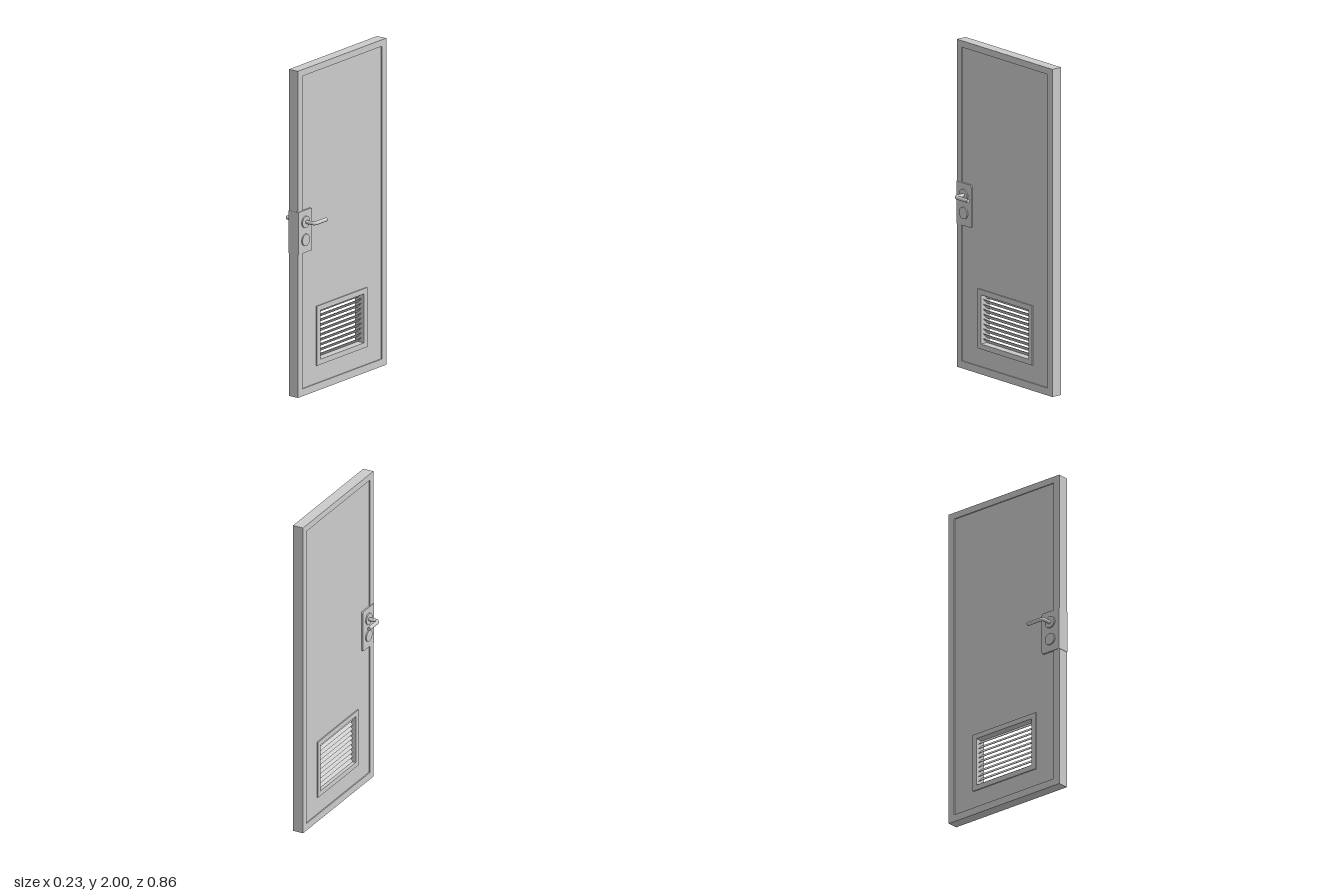
import * as THREE from 'three';

const material = new THREE.MeshStandardMaterial({ color: 0xcccccc });

// Closed rectangle path, corners rounded on the +u side when r > 0
function rect(path, u0, u1, v0, v1, r = 0) {
  path.moveTo(u0, v0);
  path.lineTo(u1 - r, v0);
  if (r) path.absarc(u1 - r, v0 + r, r, -Math.PI / 2, 0, false);
  else path.lineTo(u1, v0);
  path.lineTo(u1, v1 - r);
  if (r) path.absarc(u1 - r, v1 - r, r, 0, Math.PI / 2, false);
  else path.lineTo(u1, v1);
  path.lineTo(u0, v1);
  path.closePath();
  return path;
}

export function createModel() {
  const door = new THREE.Group();
  door.name = 'door';

  function add(name, geometry, parent = door) {
    const mesh = new THREE.Mesh(geometry, material);
    mesh.name = name;
    parent.add(mesh);
    return mesh;
  }

  // Flat part through the door's thickness (u = -z, v = y), half thickness h
  function slab(name, outer, hole, h, r = 0) {
    const shape = rect(new THREE.Shape(), ...outer, r);
    if (hole) shape.holes.push(rect(new THREE.Path(), ...hole));
    const g = new THREE.ExtrudeGeometry(shape, { depth: 2 * h, bevelEnabled: false, curveSegments: 6 });
    g.translate(0, 0, -h).rotateY(Math.PI / 2);
    return add(name, g);
  }

  const vent = [-0.213, 0.213, 0.185, 0.485];
  const panel = [-0.385, 0.385, 0.045, 1.96];

  // Leaf: outer rim, recessed panel, vent surround
  slab('doorRim', [-0.428, 0.428, 0, 2], panel, 0.034);
  slab('doorPanel', panel, vent, 0.027);
  slab('ventFrame', [-0.245, 0.245, 0.153, 0.517], vent, 0.034);

  // Slanted louvre slats, high on the +x side
  const slats = new THREE.Group();
  slats.name = 'ventSlats';
  door.add(slats);
  const count = 10, pitch = 0.3 / count;
  for (let i = 0; i < count; i++) {
    const slat = add('slat', new THREE.BoxGeometry(0.038, 0.003, 0.426), slats);
    slat.position.y = 0.185 + pitch * (i + 0.5);
    slat.rotation.z = Math.PI / 4;
  }

  // Lock plate wrapped around the door's edge
  slab('lockPlate', [-0.43, -0.295, 0.875, 1.135], null, 0.037, 0.012);

  // Roses and lever handles on both faces
  for (const side of [1, -1]) {
    const lock = new THREE.Group();
    lock.name = side > 0 ? 'leftHandle' : 'rightHandle';
    lock.rotation.y = side > 0 ? 0 : Math.PI;
    door.add(lock);
    const z = 0.362 * side;

    for (const [name, y] of [['handleRose', 1.063], ['keyRose', 0.953]]) {
      const rose = add(name, new THREE.CylinderGeometry(0.036, 0.037, 0.012, 32), lock);
      rose.rotation.z = -Math.PI / 2;
      rose.position.set(0.038, y, z);
    }

    // Neck goes out, bends and runs back along the door
    const x = 0.104, bend = 0.022, tip = 0.245 * side;
    const path = new THREE.CurvePath();
    const a = new THREE.Vector3(0.03, 1.063, 0.36 * side);
    const b = new THREE.Vector3(x - bend, 1.063, 0.36 * side);
    const corner = new THREE.Vector3(x, 1.063, 0.36 * side);
    const c = new THREE.Vector3(x, 1.063, (0.36 - bend) * side);
    const d = new THREE.Vector3(x, 1.063, tip);
    path.add(new THREE.LineCurve3(a, b));
    path.add(new THREE.QuadraticBezierCurve3(b, corner, c));
    path.add(new THREE.LineCurve3(c, d));
    add('lever', new THREE.TubeGeometry(path, 48, 0.0115, 16, false), lock);
    const cap = add('leverEnd', new THREE.CircleGeometry(0.0115, 16), lock);
    cap.position.copy(d);
    cap.rotation.y = side > 0 ? Math.PI : 0;
  }
  return door;
}
